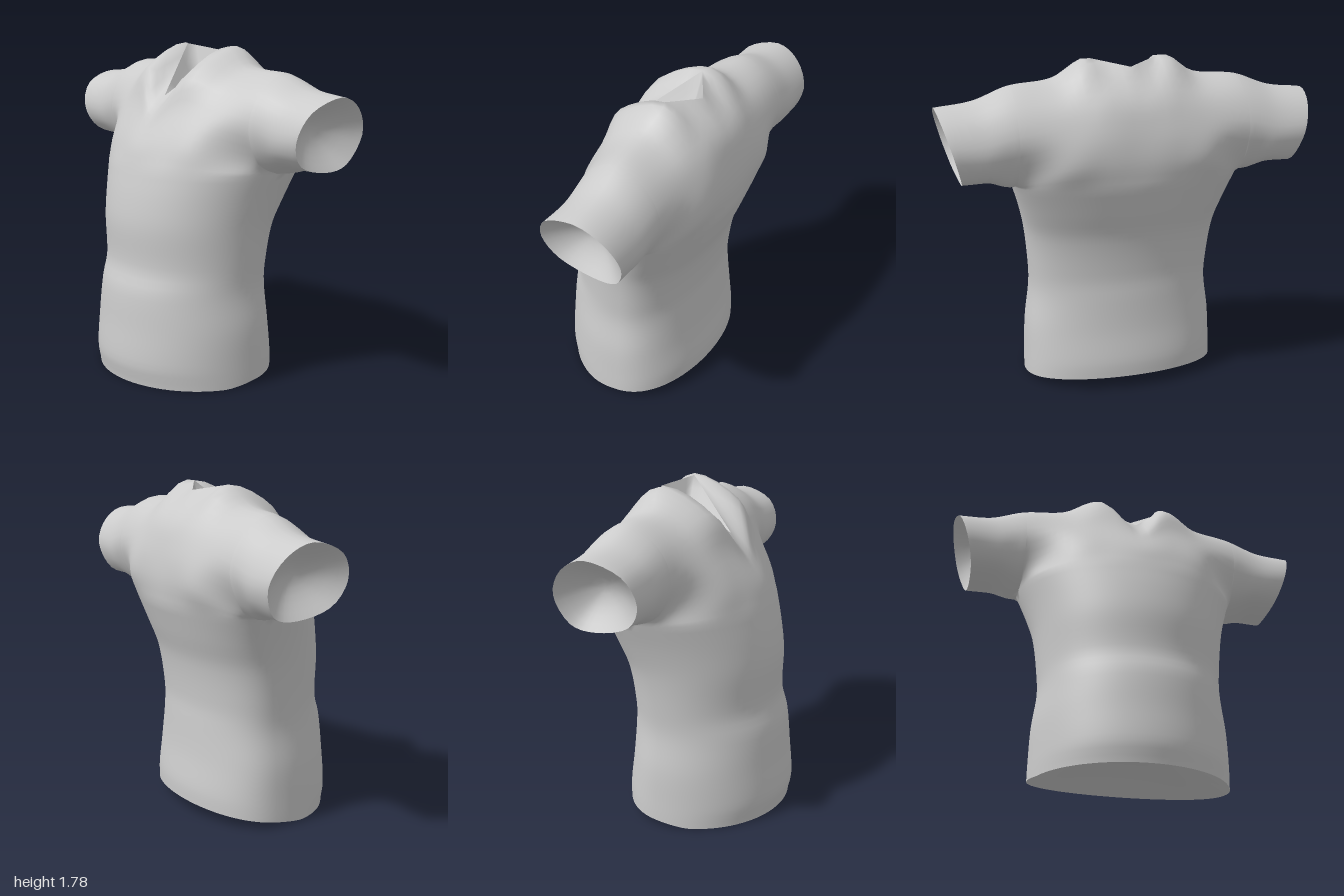
import * as THREE from 'three';
import { mergeVertices } from 'three/addons/utils/BufferGeometryUtils.js';

const material = new THREE.MeshStandardMaterial({ color: 0xcccccc, side: THREE.DoubleSide });
const V = (x, y, z) => new THREE.Vector3(x, y, z);
const COLS = 42;                                   // columns across half the chest ring
const ARM_Y = 1.15, ARM_X = 0.615;                 // armpit position
const NECK = ARM_X * Math.sin((4 * Math.PI) / COLS); // neck half width

// Smooth interpolation of table rows; the first number of each row is the key
function sample(rows, k) {
  let i = 0;
  while (i < rows.length - 2 && k > rows[i + 1][0]) i++;
  const a = rows[i], b = rows[i + 1], h = b[0] - a[0], t = (k - a[0]) / h;
  const p = rows[i - 1], n = rows[i + 2];
  return a.map((v, c) => {
    const ma = p ? (b[c] - p[c]) / (b[0] - p[0]) : 0;
    const mb = n ? (n[c] - v) / (n[0] - a[0]) : (b[c] - v) / h;
    return v * (1 + 2 * t) * (1 - t) ** 2 + b[c] * t * t * (3 - 2 * t)
      + h * (ma * t * (1 - t) ** 2 + mb * t * t * (t - 1));
  });
}

// Torso: height, half width, front z, back z, z of the side seam
const torso = [
  [0, 0.535, 0.46, -0.385, -0.03], [0.1, 0.533, 0.48, -0.385, -0.03],
  [0.3, 0.525, 0.465, -0.36, -0.03], [0.5, 0.5, 0.447, -0.347, -0.03],
  [0.62, 0.503, 0.412, -0.342, -0.04], [0.85, 0.528, 0.415, -0.37, -0.07],
  [1, 0.565, 0.395, -0.42, -0.12], [ARM_Y, ARM_X, 0.36, -0.47, -0.17],
];
function torsoPoint(angle, y) {
  const [, w, front, back, mid] = sample(torso, y);
  const c = Math.cos(angle);
  const z = c > 0 ? mid + (front - mid) * c : mid + (back - mid) * (-c) ** 0.8;
  // the hem rises toward the back
  const lift = 0.07 * Math.max(0, (0.1 - z) / 0.49) * (1 - y / ARM_Y) ** 3;
  return V(w * Math.sin(angle), y + lift, z);
}

// Shoulder and sleeve: x, then y,z pairs from the underside to the top line
const frontStations = [
  [0, 1.15, 0.36, 1.26, 0.325, 1.36, 0.265, 1.44, 0.2, 1.52, 0.135],
  [NECK, 1.15, 0.34, 1.3, 0.28, 1.47, 0.19, 1.655, 0.105, 1.78, -0.16],
  [0.38, 1.15, 0.25, 1.28, 0.215, 1.44, 0.145, 1.6, 0.03, 1.688, -0.15],
  [ARM_X, 1.15, -0.17, 1.22, 0, 1.4, 0.07, 1.57, 0, 1.665, -0.17],
  [0.8, 1.185, -0.18, 1.24, -0.01, 1.37, 0.05, 1.52, -0.01, 1.6, -0.18],
  [1, 1.19, -0.2, 1.24, -0.02, 1.37, 0.05, 1.51, -0.01, 1.575, -0.19],
];
const backStations = [
  [0, 1.15, -0.47, 1.3, -0.48, 1.46, -0.455, 1.6, -0.4, 1.745, -0.27],
  [NECK, 1.15, -0.46, 1.3, -0.48, 1.46, -0.455, 1.63, -0.37, 1.78, -0.16],
  [0.38, 1.15, -0.41, 1.28, -0.46, 1.44, -0.435, 1.6, -0.34, 1.688, -0.15],
  [ARM_X, 1.15, -0.17, 1.2, -0.33, 1.4, -0.41, 1.58, -0.33, 1.665, -0.17],
  [0.8, 1.185, -0.18, 1.22, -0.34, 1.37, -0.405, 1.53, -0.33, 1.6, -0.18],
  [1, 1.19, -0.2, 1.22, -0.34, 1.37, -0.4, 1.51, -0.33, 1.575, -0.19],
];

// Control points of one half section, bottom to top
function halfSection(stations, x, angle) {
  const ax = Math.abs(x), row = sample(stations, ax);
  const pts = [0, 1, 2, 3, 4].map((k) => V(x, row[1 + 2 * k], row[2 + 2 * k]));
  if (ax < ARM_X - 1e-4) pts[0] = torsoPoint(angle, ARM_Y); // meet the torso ring
  if (ax < NECK - 1e-4) {                                   // straight neckline edge
    const [a, b] = stations, t = ax / NECK;
    pts[4].set(x, a[9] + (b[9] - a[9]) * t, a[10] + (b[10] - a[10]) * t);
  }
  return pts;
}

// One column over the shoulder, returned as front and back point lists
const STEPS = 16;
function column(x, angle) {
  const ax = Math.abs(x);
  const f = halfSection(frontStations, x, angle);
  const b = halfSection(backStations, x, Math.PI - angle).reverse();
  const run = (curve, t0, t1) => Array.from({ length: STEPS + 1 },
    (_, i) => curve.getPoint(t0 + ((t1 - t0) * i) / STEPS));
  const curve = (pts, closed) => new THREE.CatmullRomCurve3(pts, closed, 'catmullrom', 0.5);
  let front, back;
  if (ax < NECK - 1e-4) {
    front = run(curve(f, false), 0, 1);
    back = run(curve(b, false), 0, 1);
  } else {
    const closed = ax > ARM_X - 1e-4;
    const loop = curve([...f, ...b.slice(1, closed ? 4 : 5)], closed);
    front = run(loop, 0, 0.5);
    back = run(loop, 0.5, 1);
  }
  // slant the sleeve opening
  const ramp = THREE.MathUtils.smoothstep(ax, ARM_X, 1);
  for (const p of [...front, ...back])
    p.x -= Math.sign(x) * 0.11 * ramp * Math.max(0, (1.575 - p.y) / 0.385);
  return { x, front, back };
}

// Adds a grid of points, given as columns, to a triangle soup
function addGrid(soup, cols) {
  for (let i = 0; i < cols.length - 1; i++)
    for (let j = 0; j < cols[i].length - 1; j++) {
      const a = cols[i][j], b = cols[i + 1][j], c = cols[i + 1][j + 1], d = cols[i][j + 1];
      soup.push(a, b, c, a, c, d);
    }
}
function soupMesh(soup, name) {
  const g = mergeVertices(new THREE.BufferGeometry().setFromPoints(soup), 1e-4);
  g.computeVertexNormals();
  const mesh = new THREE.Mesh(g, material);
  mesh.name = name;
  return mesh;
}

// Recessed lining that closes an opening
function lining(rim, apex, name) {
  const center = rim.reduce((s, p) => s.add(p), V(0, 0, 0)).divideScalar(rim.length);
  const push = apex.clone().sub(center);
  const cols = [...rim, rim[0]].map((p) => Array.from({ length: 7 }, (_, i) => {
    const s = i / 6;
    return p.clone().lerp(center, s).addScaledVector(push, Math.sin((s * Math.PI) / 2));
  }));
  const soup = [];
  addGrid(soup, cols);
  return soupMesh(soup, name);
}

export function createModel() {
  const group = new THREE.Group();
  group.name = 'shirt';

  // columns from cuff to cuff
  const cols = [], OUT = 14;
  for (let i = OUT; i > 0; i--) cols.push(column(-(ARM_X + ((1 - ARM_X) * i) / OUT), -Math.PI / 2));
  for (let i = 0; i <= COLS; i++) {
    const angle = -Math.PI / 2 + (Math.PI * i) / COLS;
    cols.push(column(ARM_X * Math.sin(angle), angle));
  }
  for (let i = 1; i <= OUT; i++) cols.push(column(ARM_X + ((1 - ARM_X) * i) / OUT, Math.PI / 2));

  // torso, shoulders and sleeves as one smooth cloth
  const soup = [], rings = [];
  for (let i = 0; i <= 2 * COLS; i++) {
    const angle = -Math.PI / 2 + (Math.PI * i) / COLS;
    rings.push(Array.from({ length: 33 }, (_, j) => torsoPoint(angle, (ARM_Y * j) / 32)));
  }
  addGrid(soup, rings);
  addGrid(soup, cols.map((c) => c.front));
  addGrid(soup, cols.map((c) => c.back));
  group.add(soupMesh(soup, 'shirtCloth'));

  // linings inside the hem, cuffs and neck
  group.add(lining(rings.slice(0, -1).map((r) => r[0]).reverse(), V(0, 0.17, 0.02), 'hemLining'));
  const cuff = (c) => [...c.front, ...c.back.slice(1, -1)];
  group.add(lining(cuff(cols[cols.length - 1]), V(0.82, 1.4, -0.18), 'leftCuffLining'));
  group.add(lining(cuff(cols[0]).reverse(), V(-0.82, 1.4, -0.18), 'rightCuffLining'));
  const neck = cols.filter((c) => Math.abs(c.x) < NECK + 1e-4);
  const rim = [...neck.map((c) => c.front[STEPS]),
    ...neck.slice(1, -1).reverse().map((c) => c.back[0])];
  group.add(lining(rim, V(0, 1.5, -0.14), 'neckLining'));
  return group;
}
